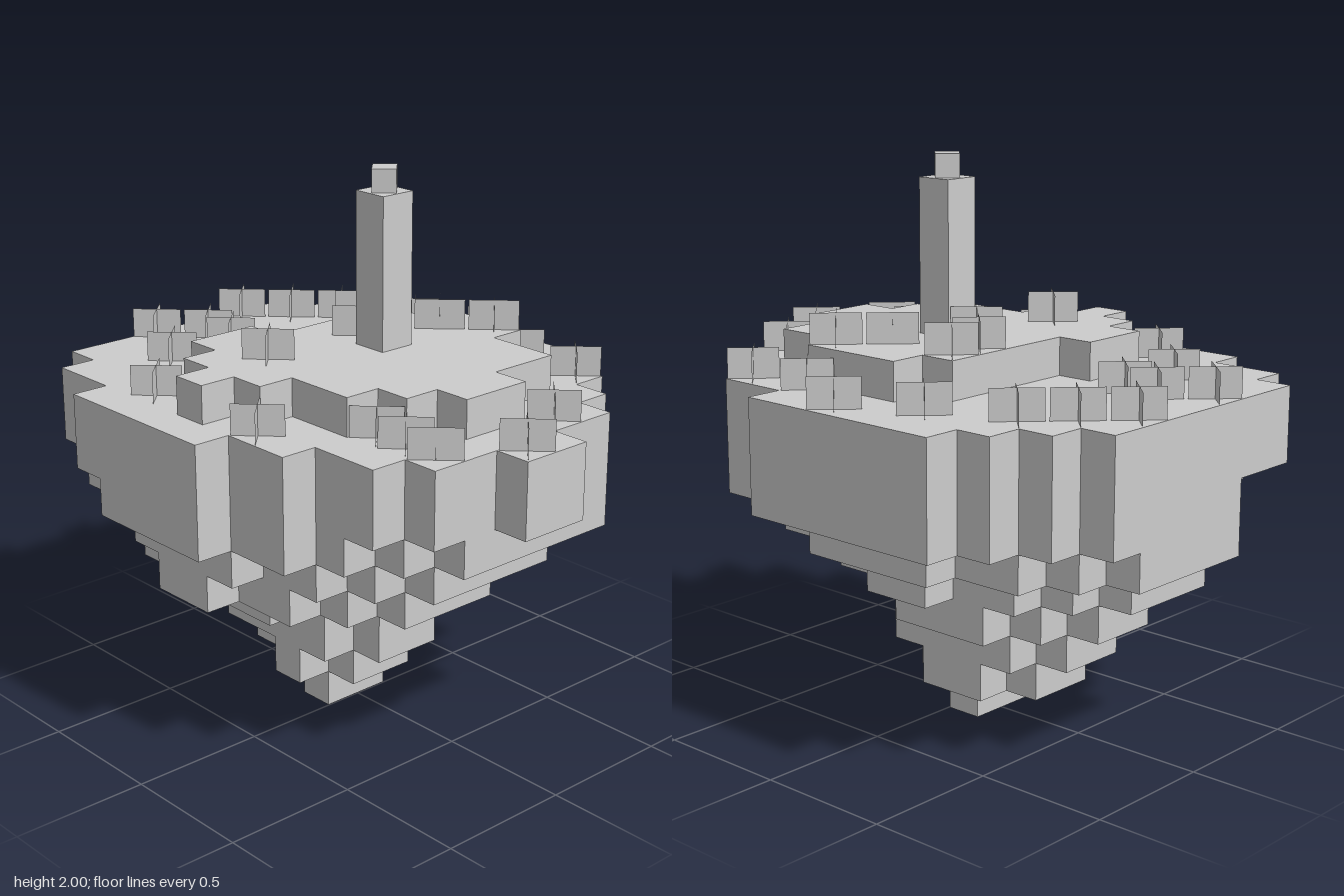
import * as THREE from 'three';

const CELL = 0.1369, X0 = -0.003, Z0 = 0.006;
const cx = (i) => X0 + CELL * i;
const cz = (j) => Z0 + CELL * j;

// Wide upper rim: [start, end] columns per row, back to front
const RIM = [[-4, 2], [-5, 4], [-6, 5], [-7, 6], [-7, 6], [-7, 7],
  [-7, 7], [-7, 6], [-7, 6], [-7, 5], [-6, 3], [-4, 1]];
const PLATEAU = [[-1, 2], [-2, 4], [-2, 4], [-2, 5], [-2, 5], [-3, 4], [-3, 3], [-2, 1], [-1, 0]];
const TIP_COLLAR = [[-2, 0], [-3, 1], [-3, 1], [-1, 0]];

// Grass tufts as [column, row]
const RIM_GRASS = [
  [-7, -2], [-6, -3], [-5, -4], [-7, 1], [-6, 0], [-5, 0], [-5, 2], [-3, 4], [1, 4], [3, 2],
  [4, 2], [5, 2], [6, 0], [5, -2], [3, -5], [-1, -6], [1, -5], [-3, -5],
];
const PLATEAU_GRASS = [[-1, 2], [1, -4], [0, -3], [-2, -3], [-2, -2], [-1, -1]];

// Rows of a rounded, stepped oval filling the given cell bounds
function ovalSpans(x0, x1, z0, z1, roundness) {
  const mid = (x0 + x1) / 2, half = (x1 - x0) / 2;
  return Array.from({ length: z1 - z0 }, (_, i) => {
    const t = Math.abs((2 * i + 1) / (z1 - z0) - 1);
    const w = half * (1 - t ** roundness) ** (1 / roundness);
    return [Math.round(mid - w), Math.round(mid + w)];
  });
}

// The shelf under the rim follows it at the back and steps inward at the front
function shelfSpans() {
  const frontInset = [[1, 1], [2, 1], [1, 0], [1, 0]];
  return RIM.map(([a, b], i) => {
    const [left, right] = frontInset[i - 8] ?? [0, 0];
    return [a + left, Math.min(b, 6) - right];
  });
}

// Stepped outline walked down the right side and back up the left, then extruded
function layerGeometry(bottom, top, firstRow, spans) {
  const right = [], left = [];
  spans.forEach(([a, b], i) => {
    for (const j of [firstRow + i, firstRow + i + 1]) {
      right.push(new THREE.Vector2(cx(b), cz(j)));
      left.push(new THREE.Vector2(cx(a), cz(j)));
    }
  });
  const near = (list, i, step) => list[(i + list.length + step) % list.length];
  const points = [...right, ...left.reverse()]
    .filter((p, i, all) => p.distanceTo(near(all, i, -1)) > 1e-5);
  // Drop points lying on a straight edge
  const corners = points.filter((p, i, all) => {
    const a = near(all, i, -1), b = near(all, i, 1);
    return Math.abs((p.x - a.x) * (b.y - p.y) - (p.y - a.y) * (b.x - p.x)) > 1e-6;
  });
  const geometry = new THREE.ExtrudeGeometry(new THREE.Shape(corners), {
    depth: (top - bottom) * CELL, bevelEnabled: false,
  });
  return geometry.rotateX(Math.PI / 2).translate(0, top * CELL, 0);
}

export function createModel() {
  const model = new THREE.Group();
  model.name = 'floatingIsland';
  const stone = new THREE.MeshStandardMaterial({ color: 0xcccccc, side: THREE.DoubleSide });
  stone.name = 'paleGrey';

  const add = (geometry, name, parent = model) => {
    const mesh = new THREE.Mesh(geometry, stone);
    mesh.name = name;
    parent.add(mesh);
    return mesh;
  };

  // Stepped island body, from the tip up
  add(layerGeometry(0, 1, -1, [[-1, 0], [-1, 0]]), 'rockTip');
  add(layerGeometry(1, 2, -2, TIP_COLLAR), 'rockTipCollar');
  add(layerGeometry(2, 3, -2, ovalSpans(-4, 2, -2, 2, 1.7)), 'lowerRock');
  add(layerGeometry(3, 4, -3, ovalSpans(-5, 2, -3, 3, 1.7)), 'lowerMiddleRock');
  add(layerGeometry(4, 5, -4, ovalSpans(-6, 4, -4, 5, 1.5)), 'middleRock');
  add(layerGeometry(5, 6, -5, ovalSpans(-7, 5, -5, 5, 1.7)), 'upperMiddleRock');
  add(layerGeometry(6, 7, -6, shelfSpans()), 'rockShelf');
  add(layerGeometry(7, 9, -6, RIM), 'islandRim');
  add(layerGeometry(9, 10, -4, PLATEAU), 'upperPlateau');

  // Crossed-plane grass tufts
  const blade = new THREE.PlaneGeometry(0.18, 0.11);
  const plant = (cells, ground, name) => {
    const patch = new THREE.Group();
    patch.name = name;
    for (const [i, j] of cells) {
      for (const turn of [1, -1]) {
        const mesh = add(blade, 'grassBlade', patch);
        mesh.position.set(cx(i + 0.5), ground + 0.055, cz(j + 0.5));
        mesh.rotation.y = turn * Math.PI / 4;
      }
    }
    model.add(patch);
  };
  plant(RIM_GRASS, 9 * CELL, 'rimGrass');
  plant(PLATEAU_GRASS, 10 * CELL, 'plateauGrass');

  // Post and its turned cap
  const base = 10 * CELL, top = 1.917;
  const post = add(new THREE.BoxGeometry(CELL, top - base, CELL), 'post');
  post.position.set(cx(0.5), (base + top) / 2, cz(-0.5));
  const cap = add(new THREE.BoxGeometry(0.085, 2 - top, 0.085), 'postCap');
  cap.position.set(cx(0.5), (top + 2) / 2, cz(-0.5));
  cap.rotation.y = Math.PI / 4;

  return model;
}
